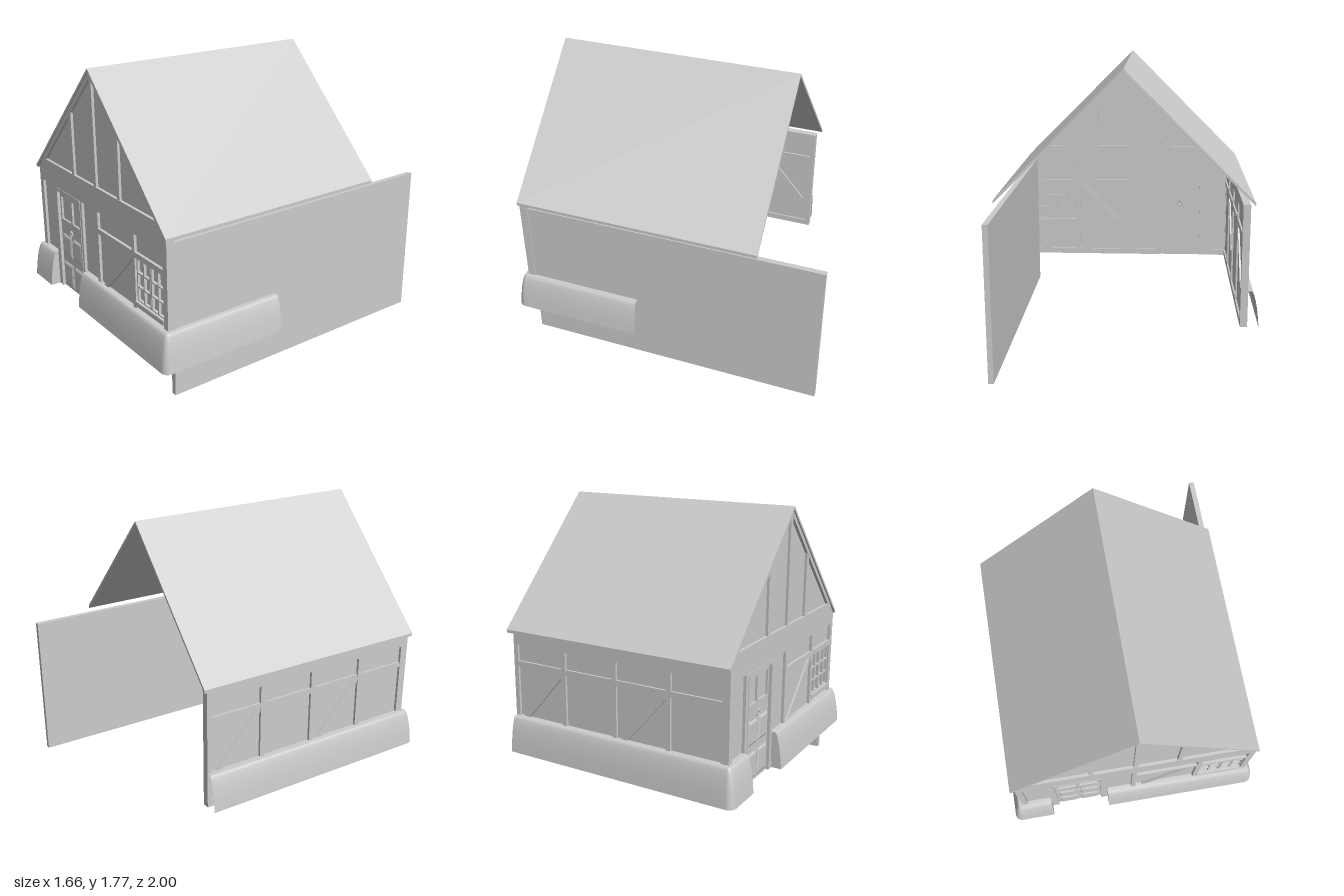
import * as THREE from 'three';

const mat = new THREE.MeshStandardMaterial({ color: 0xcccccc });
const thin = new THREE.MeshStandardMaterial({ color: 0xcccccc, side: THREE.DoubleSide });

function add(parent, name, geo, material = mat) {
  const m = new THREE.Mesh(geo, material);
  m.name = name;
  parent.add(m);
  return m;
}

// Box given by its limits
function box(parent, name, x0, x1, y0, y1, z0, z1) {
  const m = add(parent, name, new THREE.BoxGeometry(x1 - x0, y1 - y0, z1 - z0));
  m.position.set((x0 + x1) / 2, (y0 + y1) / 2, (z0 + z1) / 2);
  return m;
}

const toPoints = (pts) => pts.map(([x, y]) => new THREE.Vector2(x, y));
const rect = (x0, x1, y0, y1) => [[x0, y0], [x1, y0], [x1, y1], [x0, y1]];

// Flat outline with optional holes, extruded from z0 to z1
function slab(parent, name, pts, z0, z1, holes = []) {
  const shape = new THREE.Shape(toPoints(pts));
  for (const h of holes) shape.holes.push(new THREE.Path(toPoints(h)));
  const m = add(parent, name, new THREE.ExtrudeGeometry(shape, { depth: z1 - z0, bevelEnabled: false }));
  m.position.z = z0;
  return m;
}

function buildFrontWall() {
  const g = new THREE.Group();
  g.name = 'frontWall';
  const zb = 0.885, zf = 0.935;
  const beam = (name, x0, x1, y0, y1) => box(g, name, x0, x1, y0, y1, zb, zf);

  slab(g, 'frontInfill', [[-0.75, 0.2], [-0.53, 0.2], [-0.53, 0.88], [-0.215, 0.88], [-0.215, 0.2], [0.75, 0.2], [0.75, 0.98], [-0.75, 0.98]],
    0.895, 0.917, [rect(0.43, 0.715, 0.48, 0.755)]);
  slab(g, 'gableInfill', [[-0.7, 1.03], [0.69, 1.03], [-0.005, 1.73]], 0.895, 0.917);

  // Posts and rails
  for (const [x0, x1] of [[-0.76, -0.72], [-0.565, -0.535], [-0.215, -0.19], [-0.02, 0.01], [0.4, 0.43], [0.725, 0.765]])
    beam('post', x0, x1, 0.2, 0.9);
  beam('topRail', -0.76, 0.765, 0.9, 0.97);
  beam('middleRail', 0.01, 0.725, 0.755, 0.79);
  beam('windowSill', 0.43, 0.725, 0.45, 0.48).scale.z = 1.2;
  beam('bottomRail', -0.72, -0.565, 0.2, 0.24);
  beam('bottomRail', -0.19, 0.725, 0.2, 0.24);
  slab(g, 'diagonalBrace', [[0.05, 0.43], [0.095, 0.43], [0.4, 0.735], [0.4, 0.755], [0.375, 0.755]], zb, zf - 0.004);

  // Gable timbers
  slab(g, 'tieBeam', [[-0.765, 0.97], [0.765, 0.97], [0.69, 1.055], [-0.7, 1.055]], zb, zf);
  for (const s of [-1, 1]) {
    const e = [[0, 1.75], [0.695, 1.055], [0.66, 1.055], [0, 1.715]].map(([x, y]) => [s * x - 0.005, y]);
    slab(g, 'gableRafter', e, zb, zf);
  }
  for (const [x0, x1] of [[-0.295, -0.267], [-0.018, 0.01], [0.255, 0.283]])
    slab(g, 'gablePost', [[x0, 1.055], [x1, 1.055], [x1, 1.73 - Math.abs(x1)], [x0, 1.73 - Math.abs(x0)]], zb, zf - 0.002);
  return g;
}

function buildWindow() {
  const g = new THREE.Group();
  g.name = 'window';
  box(g, 'glass', 0.43, 0.715, 0.48, 0.755, 0.901, 0.907);
  // Two casements, each two panes wide and three high
  for (const x of [0.432, 0.58]) {
    const panes = [];
    for (let c = 0; c < 2; c++)
      for (let r = 0; r < 3; r++) {
        const px = x + 0.01 + c * 0.068, py = 0.487 + r * 0.089;
        panes.push(rect(px, px + 0.059, py, py + 0.08));
      }
    slab(g, 'casement', rect(x, x + 0.145, 0.479, 0.757), 0.895, 0.924, panes);
  }
  return g;
}

function buildDoor() {
  const g = new THREE.Group();
  g.name = 'door';
  const columns = [[-0.503, -0.383], [-0.36, -0.24]];
  box(g, 'doorBack', -0.522, -0.223, 0.2, 0.88, 0.893, 0.905);
  slab(g, 'doorLeaf', rect(-0.522, -0.223, 0.2, 0.88), 0.903, 0.918, columns.map(([a, b]) => rect(a, b, 0.685, 0.84)));
  slab(g, 'doorFrame', [[-0.535, 0.2], [-0.52, 0.2], [-0.52, 0.877], [-0.225, 0.877], [-0.225, 0.2], [-0.21, 0.2], [-0.21, 0.885], [-0.22, 0.9], [-0.525, 0.9], [-0.535, 0.885]], 0.885, 0.938);
  // Raised lower panels with sloping edges
  for (const [a, b] of columns)
    for (const [y0, y1] of [[0.22, 0.385], [0.435, 0.585]]) {
      const geo = new THREE.ExtrudeGeometry(new THREE.Shape(toPoints(rect(a + 0.015, b - 0.015, y0 + 0.015, y1 - 0.015))),
        { depth: 0.002, bevelThickness: 0.007, bevelSize: 0.015, bevelSegments: 1 });
      add(g, 'doorPanel', geo).position.z = 0.918;
    }
  // Ring knockers on both faces
  for (const z of [0.924, 0.888]) {
    add(g, 'knockerRing', new THREE.TorusGeometry(0.016, 0.004, 8, 20)).position.set(-0.372, 0.612, z);
    add(g, 'knockerBoss', new THREE.SphereGeometry(0.009, 10, 8)).position.set(-0.372, 0.631, z);
  }
  return g;
}

// Built facing +z along local x, then turned to face -x
function buildLeftWall() {
  const g = new THREE.Group();
  g.name = 'leftWall';
  const zb = 0.715, zf = 0.76, x0 = -0.575, x1 = 0.9;
  box(g, 'sideInfill', x0 + 0.01, x1, 0.2, 0.96, 0.726, 0.744);
  const bay = (x1 - x0) / 4;
  for (let i = 0; i < 5; i++) {
    const x = x0 + i * bay;
    const w = i === 4 ? 0.012 : 0.03;
    box(g, 'sidePost', x, x + w, 0.2, 0.9, zb, zf);
  }
  box(g, 'wallPlate', x0, x1, 0.9, 0.97, zb, zf);
  box(g, 'sideRail', x0, x1, 0.755, 0.79, zb, zf - 0.002);
  box(g, 'sideBottomRail', x0, x1, 0.2, 0.24, zb, zf - 0.002);
  for (const i of [0, 2]) {
    const a = x0 + i * bay + 0.06, b = x0 + (i + 1) * bay;
    slab(g, 'sideBrace', [[a, 0.43], [a + 0.045, 0.43], [b, 0.735], [b, 0.755], [b - 0.025, 0.755]], zb, zf - 0.004);
  }
  g.rotation.y = -Math.PI / 2;
  return g;
}

// Flared skirt wrapping one front corner: side sx, ending at xEnd on the front and zEnd on the side
function buildSkirt(sx, xEnd, zEnd) {
  const g = new THREE.Group();
  g.name = sx > 0 ? 'rightSkirt' : 'leftSkirt';
  const profile = [[-0.03, 0.43], [0.02, 0.43], [0.028, 0.425], [0.036, 0.41], [0.046, 0.375], [0.056, 0.325], [0.064, 0.265], [0.07, 0.2]];
  const pos = [], index = [];
  const arc = 6, cols = arc + 5;
  for (const [d, y] of profile) {
    const r = 0.045 * Math.max(d, 0) / 0.07;
    const cx = 0.76 + d - r, cz = 0.93 + d - r;
    const row = [[sx * (0.76 + d), zEnd], [sx * (0.76 + d), cz - 0.02]];
    for (let i = 0; i <= arc; i++) {
      const t = (i / arc) * Math.PI / 2;
      row.push([sx * (cx + r * Math.cos(t)), cz + r * Math.sin(t)]);
    }
    row.push([sx * (cx - 0.02), 0.93 + d], [xEnd, 0.93 + d]);
    for (const [x, z] of row) pos.push(x, y, z);
  }
  for (let j = 0; j < profile.length - 1; j++)
    for (let i = 0; i < cols - 1; i++) {
      const a = j * cols + i, b = a + 1, c = a + cols, d = c + 1;
      if (sx > 0) index.push(a, b, c, b, d, c);
      else index.push(a, c, b, b, c, d);
    }
  const geo = new THREE.BufferGeometry();
  geo.setAttribute('position', new THREE.Float32BufferAttribute(pos, 3));
  geo.setIndex(index);
  geo.computeVertexNormals();
  add(g, 'skirtShell', geo, thin);
  // End beside the door
  const cap = add(g, 'skirtEnd', new THREE.ShapeGeometry(new THREE.Shape(toPoints([...profile.map(([d, y]) => [-d, y]), [0.03, 0.2]]))), thin);
  cap.rotation.y = Math.PI / 2;
  cap.position.set(xEnd, 0, 0.93);
  return g;
}

export function createModel() {
  const model = new THREE.Group();
  model.name = 'cottage';
  model.add(buildFrontWall(), buildWindow(), buildDoor(), buildLeftWall());
  model.add(buildSkirt(-1, -0.565, -0.57), buildSkirt(1, -0.18, 0.165));

  // Plain party wall running past the back
  box(model, 'rightWall', 0.725, 0.758, 0, 0.95, -1, 0.89);

  // Thin pitched roof, open at the back
  slab(model, 'roof', [[-0.785, 0.97], [-0.005, 1.75], [0.775, 0.97], [0.775, 0.99], [-0.005, 1.77], [-0.785, 0.99]], -0.605, 0.945);
  return model;
}
